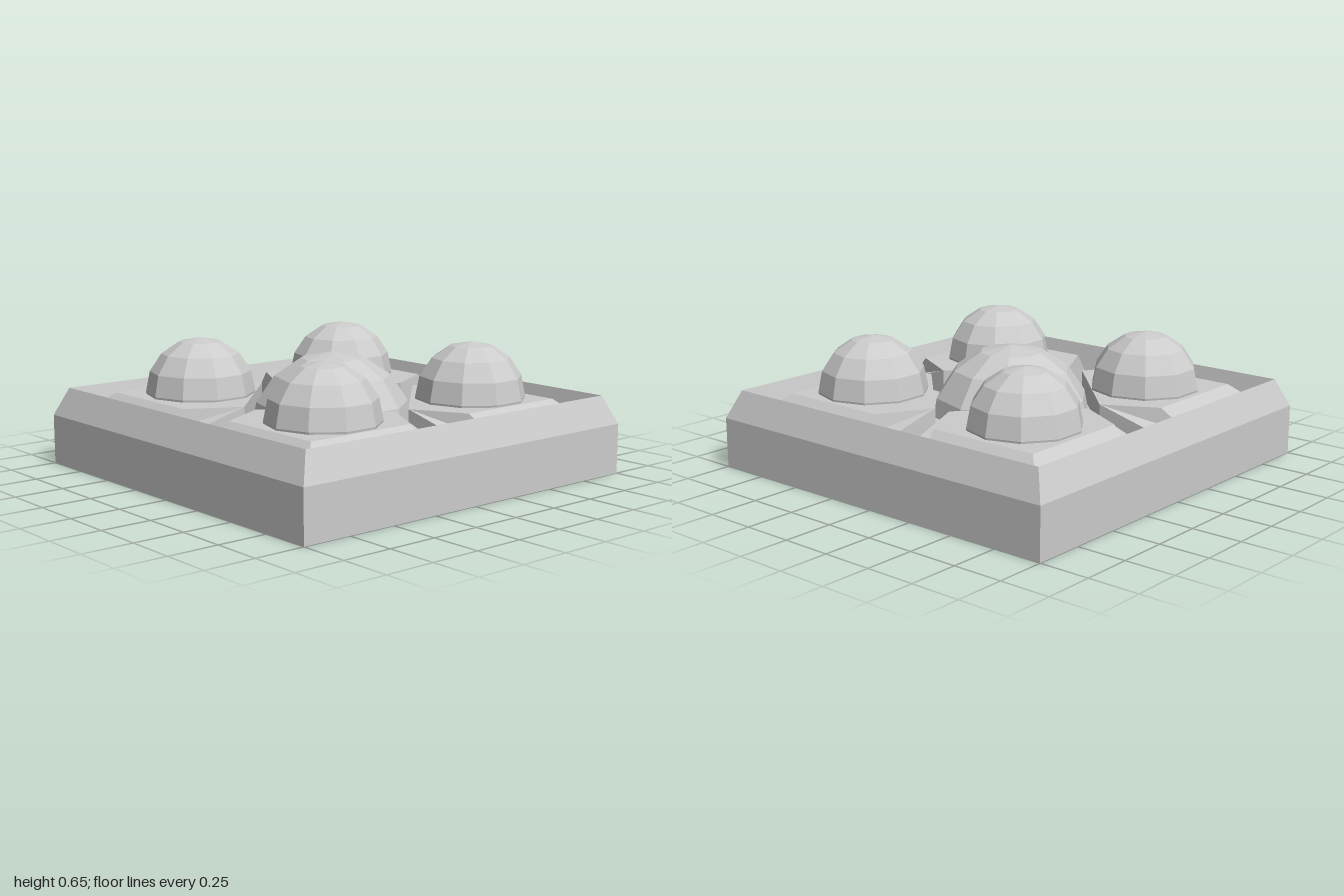
import * as THREE from 'three';

const FLOOR = 0.25, PAD_TOP = 0.37;

// Triangle fans from convex corner loops, as flat facets
function facets(loops) {
  const pos = [];
  for (const l of loops) {
    for (let i = 1; i < l.length - 1; i++) pos.push(...l[0], ...l[i], ...l[i + 1]);
  }
  const g = new THREE.BufferGeometry();
  g.setAttribute('position', new THREE.Float32BufferAttribute(pos, 3));
  g.computeVertexNormals();
  return g;
}

// Raised corner pad: flat top, sloped outer sides, flared channel sides
function padGeometry() {
  const t = (x, z) => [x, PAD_TOP, z];
  const f = (x, z) => [x, FLOOR, z];
  const A = t(0.77, 0.77), B = t(0.185, 0.77), C = t(0.045, 0.51), D = t(0.51, 0.045), E = t(0.77, 0.185);
  const a = f(0.905, 0.905), b = f(0.24, 0.905), b2 = f(0.08, 0.905), c = f(0.045, 0.51);
  const d = f(0.51, 0.045), e2 = f(0.905, 0.08), e = f(0.905, 0.24);
  return facets([
    [A, E, D, C, B],
    [a, e, E, A],
    [D, E, e, e2, d],
    [d, c, C, D],
    [C, c, b2, b, B],
    [b, a, A, B],
  ]);
}

export function createModel() {
  const model = new THREE.Group();
  const mat = new THREE.MeshStandardMaterial({ color: 0xcccccc, flatShading: true });
  const add = (name, geo, x = 0, y = 0, z = 0) => {
    const m = new THREE.Mesh(geo, mat);
    m.name = name;
    m.position.set(x, y, z);
    model.add(m);
    return m;
  };

  // Square tray with chamfered rim and sunken floor
  const profile = [[0, 0], [1, 0], [1, 0.25], [0.94, 0.39], [0.905, FLOOR], [0, FLOOR]]
    .map(([h, y]) => new THREE.Vector2(h * Math.SQRT2, y));
  add('tray', new THREE.LatheGeometry(profile, 4, Math.PI / 4));

  // Four pads separated by a cross of channels
  const pad = padGeometry();
  for (let i = 0; i < 4; i++) add('pad', pad).rotation.y = i * Math.PI / 2;

  // Ten-sided domes
  const dome = (r) => new THREE.SphereGeometry(r, 10, 5, 0, Math.PI * 2, 0, Math.PI * 5 / 8).rotateY(Math.PI / 2);
  add('centreDome', dome(0.41), 0.005, 0.185, 0);
  const small = dome(0.274);
  for (const [x, z] of [[-0.48, -0.475], [0.495, -0.475], [-0.48, 0.455], [0.495, 0.47]]) {
    add('cornerDome', small, x, 0.38, z);
  }
  return model;
}
